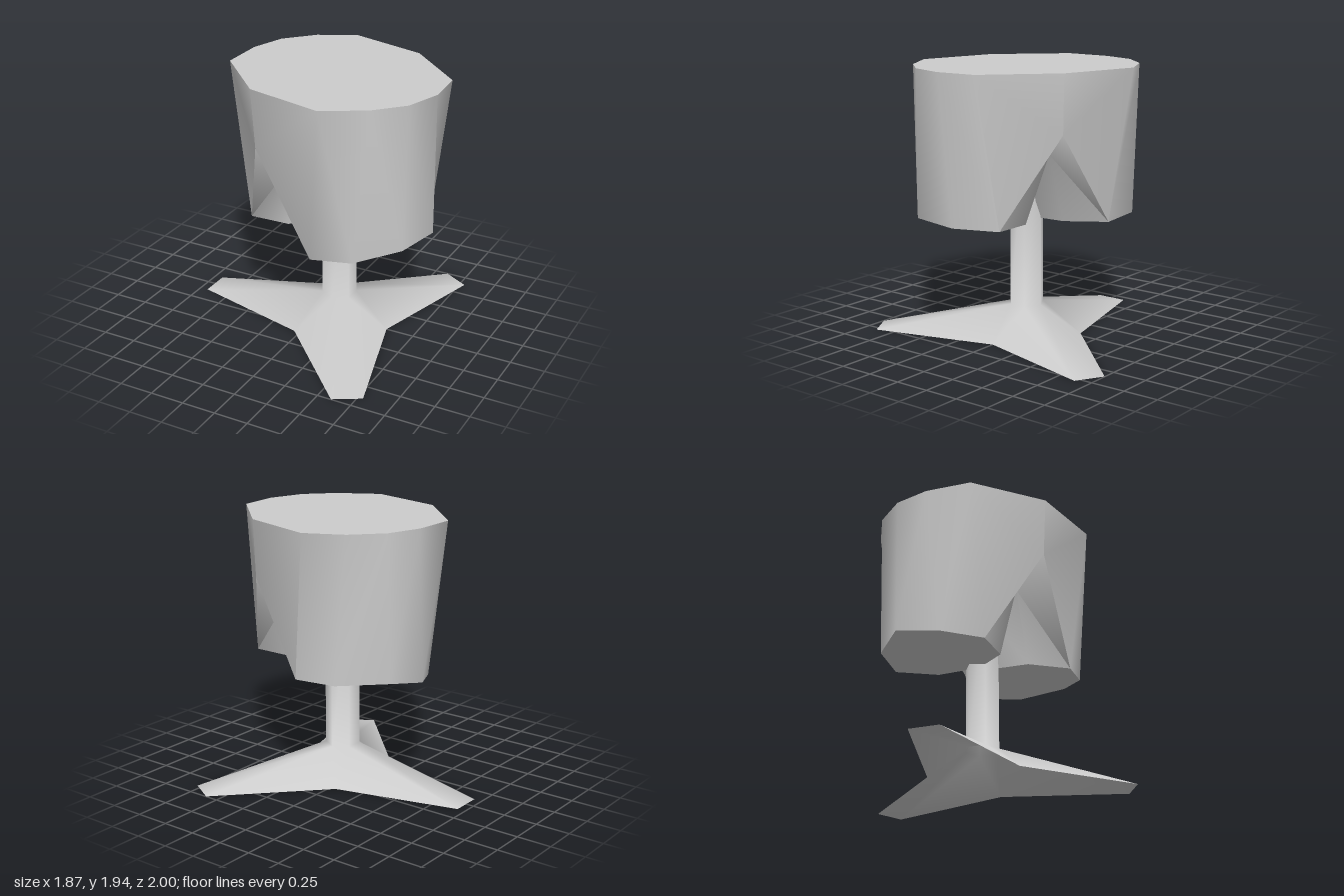
import * as THREE from 'three';
import { toCreasedNormals } from 'three/addons/utils/BufferGeometryUtils.js';

const grey = new THREE.MeshStandardMaterial({ color: 0xcccccc, side: THREE.DoubleSide });
grey.name = 'plain grey';

// Two-legged form: half is described front to back, then mirrored across x.
function formGeometry() {
  const H = 1.94;
  const top = [[0.57, 0.55], [0.74, 0.26], [0.8, 0], [0.74, -0.27], [0.57, -0.52]]
    .map(([x, z]) => [x, H, z]);
  const hem = [[0.40, 0.797, 0.50], [0.66, 0.835, 0.33], [0.80, 0.905, 0.02], [0.67, 0.895, -0.33],
    [0.40, 0.885, -0.51], [0.14, 0.875, -0.33], [0.03, 0.85, 0], [0.13, 0.805, 0.35]];
  const midFront = [0, H, 0.71], midBack = [0, H, -0.66];
  // crotch line, front to back
  const crotch = [[0, 1.51, 0.68], [0, 1.345, 0.38], [0, 1.345, 0], [0, 1.365, -0.41], [0, 1.53, -0.645]];
  const tris = [];
  const quad = (a, b, c, d) => tris.push([a, b, c], [a, c, d]);

  for (let i = 0; i < 4; i++) quad(top[i], hem[i], hem[i + 1], top[i + 1]); // outer wall
  // back panel
  tris.push([top[4], hem[4], crotch[4]], [hem[4], crotch[3], crotch[4]],
    [hem[4], hem[5], crotch[3]], [top[4], crotch[4], midBack]);
  // inner leg
  quad(crotch[3], hem[5], hem[6], crotch[2]);
  quad(crotch[2], hem[6], hem[7], crotch[1]);
  // front panel
  tris.push([crotch[1], hem[7], hem[0]], [crotch[1], hem[0], crotch[0]],
    [crotch[0], hem[0], top[0]], [crotch[0], top[0], midFront]);
  // flat top and leg end
  const rim = [midFront, ...top, midBack];
  for (let i = 0; i < rim.length - 1; i++) tris.push([[0, H, 0], rim[i], rim[i + 1]]);
  for (let i = 0; i < 8; i++) tris.push([[0.41, 0.857, 0], hem[(i + 1) % 8], hem[i]]);

  const mirror = ([x, y, z]) => [-x, y, z];
  const all = tris.concat(tris.map(([a, b, c]) => [mirror(a), mirror(c), mirror(b)]));
  const geo = new THREE.BufferGeometry();
  geo.setAttribute('position', new THREE.Float32BufferAttribute(all.flat(2), 3));
  return toCreasedNormals(geo, 1.1);
}

// Hexagonal pole flowing into three tapered feet, open underneath.
function standGeometry() {
  const R = 0.125, poleTop = 1.4, poleFoot = 0.22;
  const pos = [], index = [];
  const add = (angle, r, side, y) => {
    const c = Math.cos(angle), s = Math.sin(angle);
    pos.push(r * c - side * s, y, r * s + side * c);
  };
  // 0-5 upper ring, 6-11 lower ring
  for (const y of [poleTop, poleFoot])
    for (let i = 0; i < 6; i++) add(Math.PI / 6 + i * Math.PI / 3, R, 0, y);
  for (let i = 0; i < 6; i++) {
    const j = (i + 1) % 6;
    index.push(i, j, 6 + j, i, 6 + j, 6 + i);
  }
  // ground outline per foot: two tip corners and the inside corner after it
  for (let k = 0; k < 3; k++) {
    const a = Math.PI / 3 + k * Math.PI * 2 / 3;
    add(a, 1.09, -0.108, 0);
    add(a, 1.09, 0.108, 0);
    add(a + Math.PI / 3, 0.39, 0, 0);
  }
  for (let k = 0; k < 3; k++) {
    const h0 = 6 + 2 * k, h1 = h0 + 1, h2 = 6 + (2 * k + 2) % 6;
    const t0 = 12 + 3 * k, t1 = t0 + 1, inner = t0 + 2, before = 12 + (3 * k + 8) % 9;
    index.push(h0, h1, t1, h0, t1, t0); // top strip
    index.push(h1, inner, t1, h0, t0, before); // flanks
    index.push(h1, h2, inner); // web between feet
  }
  const geo = new THREE.BufferGeometry();
  geo.setAttribute('position', new THREE.Float32BufferAttribute(pos, 3));
  geo.setIndex(index);
  geo.computeVertexNormals();
  return geo;
}

export function createModel() {
  const model = new THREE.Group();
  model.name = 'displayStand';

  const form = new THREE.Mesh(formGeometry(), grey);
  form.name = 'hipForm';
  form.rotation.y = -Math.PI / 6;

  const stand = new THREE.Mesh(standGeometry(), grey);
  stand.name = 'poleAndFeet';

  for (const part of [form, stand]) {
    part.position.x = 0.15;
    model.add(part);
  }
  return model;
}
